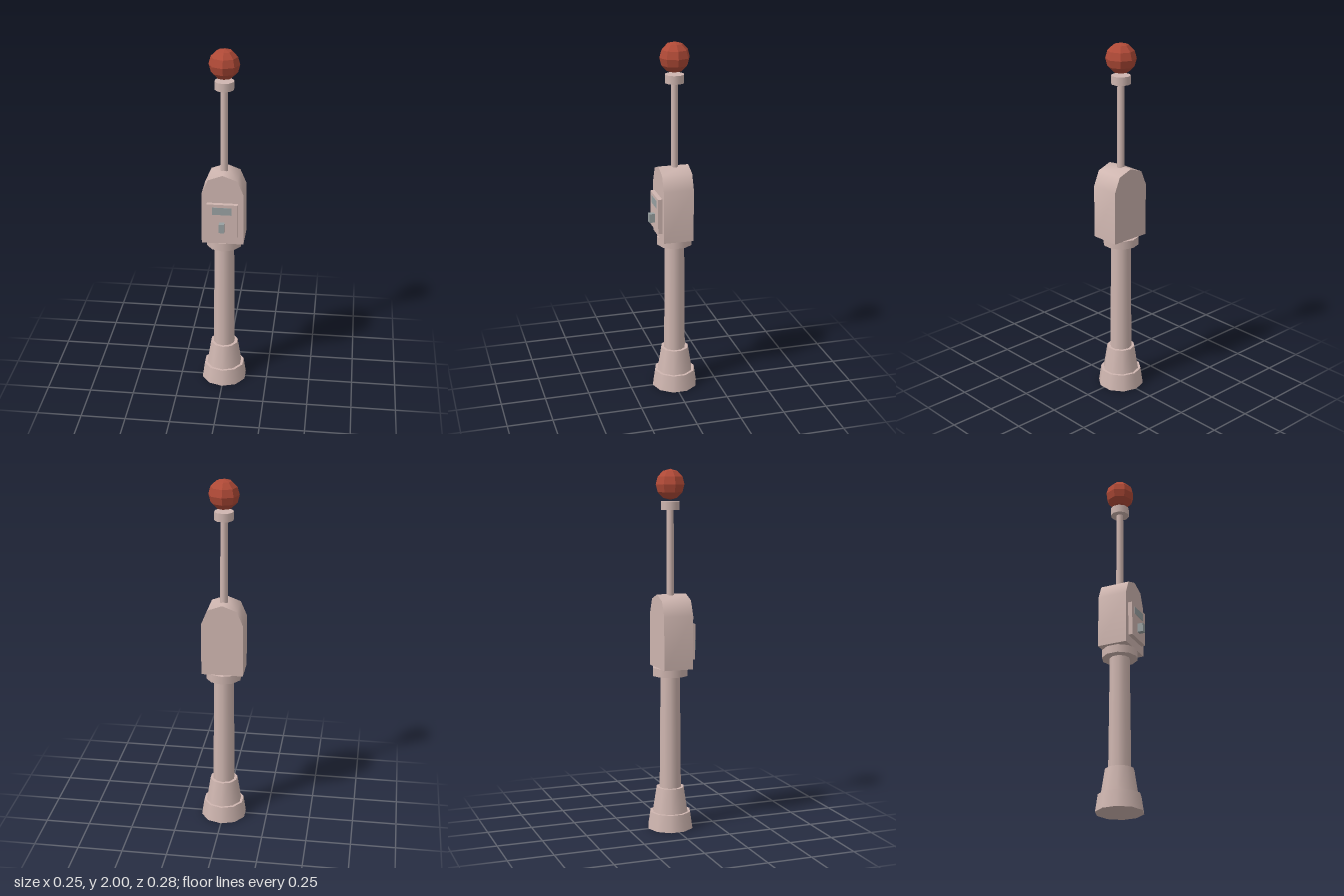
import * as THREE from 'three';
import { toCreasedNormals } from 'three/addons/utils/BufferGeometryUtils.js';

const AXIS_Z = -0.008; // the round parts share this vertical axis

export function createModel() {
  const group = new THREE.Group();
  const body = new THREE.MeshStandardMaterial({ name: 'paleRose', color: 0xcfb6b0 });
  const red = new THREE.MeshStandardMaterial({ name: 'brickRed', color: 0xb04a37, flatShading: true });
  const grey = new THREE.MeshStandardMaterial({ name: 'grey', color: 0x98a0a1 });

  const add = (name, geometry, material, x, y, z) => {
    const mesh = new THREE.Mesh(geometry, material);
    mesh.name = name;
    mesh.position.set(x, y, z);
    group.add(mesh);
    return mesh;
  };

  // Ten-sided column sections: name, bottom y, top y, bottom radius, top radius
  const sections = [
    ['foot', 0, 0.095, 0.13, 0.116],
    ['footCollar', 0.095, 0.235, 0.101, 0.079],
    ['post', 0.235, 0.87, 0.062, 0.056],
    ['postCollar', 0.87, 0.916, 0.1, 0.1],
    ['rod', 1.3, 1.78, 0.021, 0.02],
    ['rodCap', 1.78, 1.826, 0.053, 0.053],
  ];
  for (const [name, y0, y1, r0, r1] of sections) {
    add(name, new THREE.CylinderGeometry(r1, r0, y1 - y0, 10), body, 0, (y0 + y1) / 2, AXIS_Z);
  }

  // Ball on top
  add('ball', new THREE.SphereGeometry(0.083, 8, 6), red, 0, 1.917, AXIS_Z);

  // Housing with an arched top
  const outline = new THREE.Shape([
    [-0.115, 0.915], [0.115, 0.915], [0.115, 1.21], [0.08, 1.292],
    [0, 1.322], [-0.08, 1.292], [-0.115, 1.21],
  ].map(([x, y]) => new THREE.Vector2(x, y)));
  const housing = new THREE.ExtrudeGeometry(outline, { depth: 0.168, bevelEnabled: false });
  add('housing', toCreasedNormals(housing, Math.PI / 3), body, 0, 0, -0.085);

  // Control panel with a display and a knob
  add('panel', new THREE.BoxGeometry(0.17, 0.197, 0.026), body, 0, 1.062, 0.094);
  add('display', new THREE.BoxGeometry(0.106, 0.043, 0.004), grey, 0, 1.122, 0.107);
  add('knob', new THREE.BoxGeometry(0.029, 0.05, 0.034), grey, 0, 1.031, 0.121);

  return group;
}
